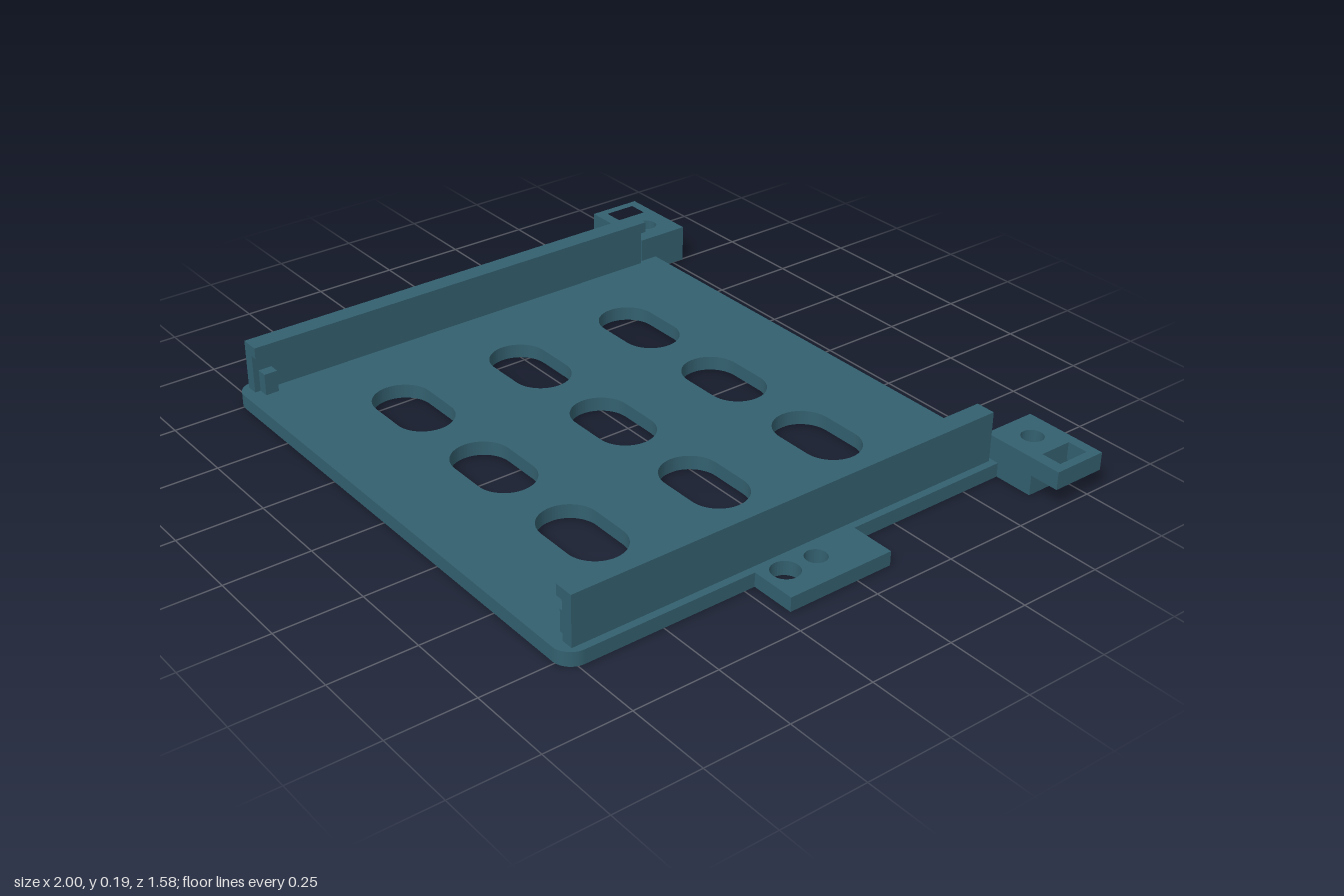
import * as THREE from 'three';

const material = new THREE.MeshStandardMaterial({ color: 0x33606f });

// Closed path from [x, z] corners
const outline = (pts, Type = THREE.Shape) =>
  new Type().setFromPoints(pts.map(([x, z]) => new THREE.Vector2(x, z)));

const rect = (x0, z0, x1, z1, Type) => outline([[x0, z0], [x1, z0], [x1, z1], [x0, z1]], Type);

// Round hole, or a hexagon when sides is 6
function ring(x, z, r, sides = 32) {
  const pts = [];
  for (let i = 0; i < sides; i++) {
    const a = (i / sides) * Math.PI * 2;
    pts.push([x + r * Math.cos(a), z + r * Math.sin(a)]);
  }
  return outline(pts, THREE.Path);
}

// Slot with semicircular ends along x
function slot(x, z, half, r) {
  const p = new THREE.Path();
  p.absarc(x + half - r, z, r, -Math.PI / 2, Math.PI / 2);
  p.absarc(x - half + r, z, r, Math.PI / 2, Math.PI * 1.5);
  p.closePath();
  return p;
}

// Flat slab: an (x, z) plan raised from y0 to y1
function slab(name, shape, holes, y0, y1) {
  shape.holes.push(...holes);
  const g = new THREE.ExtrudeGeometry(shape, { depth: y1 - y0, bevelEnabled: false, curveSegments: 16 });
  g.rotateX(Math.PI / 2).translate(0, y1, 0);
  const mesh = new THREE.Mesh(g, material);
  mesh.name = name;
  return mesh;
}

function block(name, x0, x1, y0, y1, z0, z1) {
  const mesh = new THREE.Mesh(new THREE.BoxGeometry(Math.abs(x1 - x0), y1 - y0, z1 - z0), material);
  mesh.position.set((x0 + x1) / 2, (y0 + y1) / 2, (z0 + z1) / 2);
  mesh.name = name;
  return mesh;
}

export function createModel() {
  const model = new THREE.Group();
  model.name = 'mountingTray';

  // Base plate with side tabs, rounded front corners and notched rear corners
  const W = 0.795, F = 0.787, R = 0.055, T = 0.928;
  const plate = new THREE.Shape();
  plate.moveTo(-0.747, -0.68);
  plate.lineTo(0.747, -0.68);
  plate.lineTo(0.747, -0.625);
  plate.lineTo(W, -0.625);
  plate.lineTo(W, -0.11);
  plate.lineTo(T, -0.11);
  plate.lineTo(T, 0.218);
  plate.lineTo(W, 0.218);
  plate.lineTo(W, F - R);
  plate.absarc(W - R, F - R, R, 0, Math.PI / 2);
  plate.lineTo(-W + R, F);
  plate.absarc(-W + R, F - R, R, Math.PI / 2, Math.PI);
  plate.lineTo(-W, 0.218);
  plate.lineTo(-T, 0.218);
  plate.lineTo(-T, -0.11);
  plate.lineTo(-W, -0.11);
  plate.lineTo(-W, -0.625);
  plate.lineTo(-0.747, -0.625);
  plate.closePath();

  const holes = [];
  for (const x of [-0.395, 0, 0.395])
    for (const z of [-0.342, 0.052, 0.447]) holes.push(slot(x, z, 0.142, 0.086));
  for (const s of [-1, 1]) holes.push(ring(s * 0.832, 0.052, 0.031), ring(s * 0.832, 0.152, 0.04));
  model.add(slab('basePlate', plate, holes, 0, 0.042));

  for (const s of [-1, 1]) {
    const side = s > 0 ? 'left' : 'right';

    // Side rail with an inward lip
    const profile = outline([[0.773, 0.042], [0.773, 0.191], [0.715, 0.191], [0.715, 0.158],
      [0.737, 0.158], [0.737, 0.042]].map(([x, y]) => [s * x, y]));
    const g = new THREE.ExtrudeGeometry(profile, { depth: 1.368, bevelEnabled: false });
    g.translate(0, 0, -0.614);
    const rail = new THREE.Mesh(g, material);
    rail.name = side + 'Rail';
    model.add(rail);

    // Small end stop inside the front of the rail
    model.add(block(side + 'EndStop', s * 0.704, s * 0.737, 0.042, 0.107, 0.697, 0.737));

    // Rear ear: thick foot with a nut pocket, thin slotted plate on top
    const ear = new THREE.Group();
    ear.name = side + 'RearEar';
    const B = -0.79, E = -0.625, cx = s * 0.832, cz = -0.708;
    ear.add(slab('earFoot', rect(s * 0.747, B, s * 0.912, E), [ring(cx, cz, 0.062, 6)], 0, 0.06));
    ear.add(slab('earPlate', rect(s * 0.747, B, s, E),
      [ring(cx, cz, 0.032), rect(s * 0.912, -0.76, s * 0.974, -0.66, THREE.Path)], 0.06, 0.113));
    model.add(ear);
  }
  return model;
}
